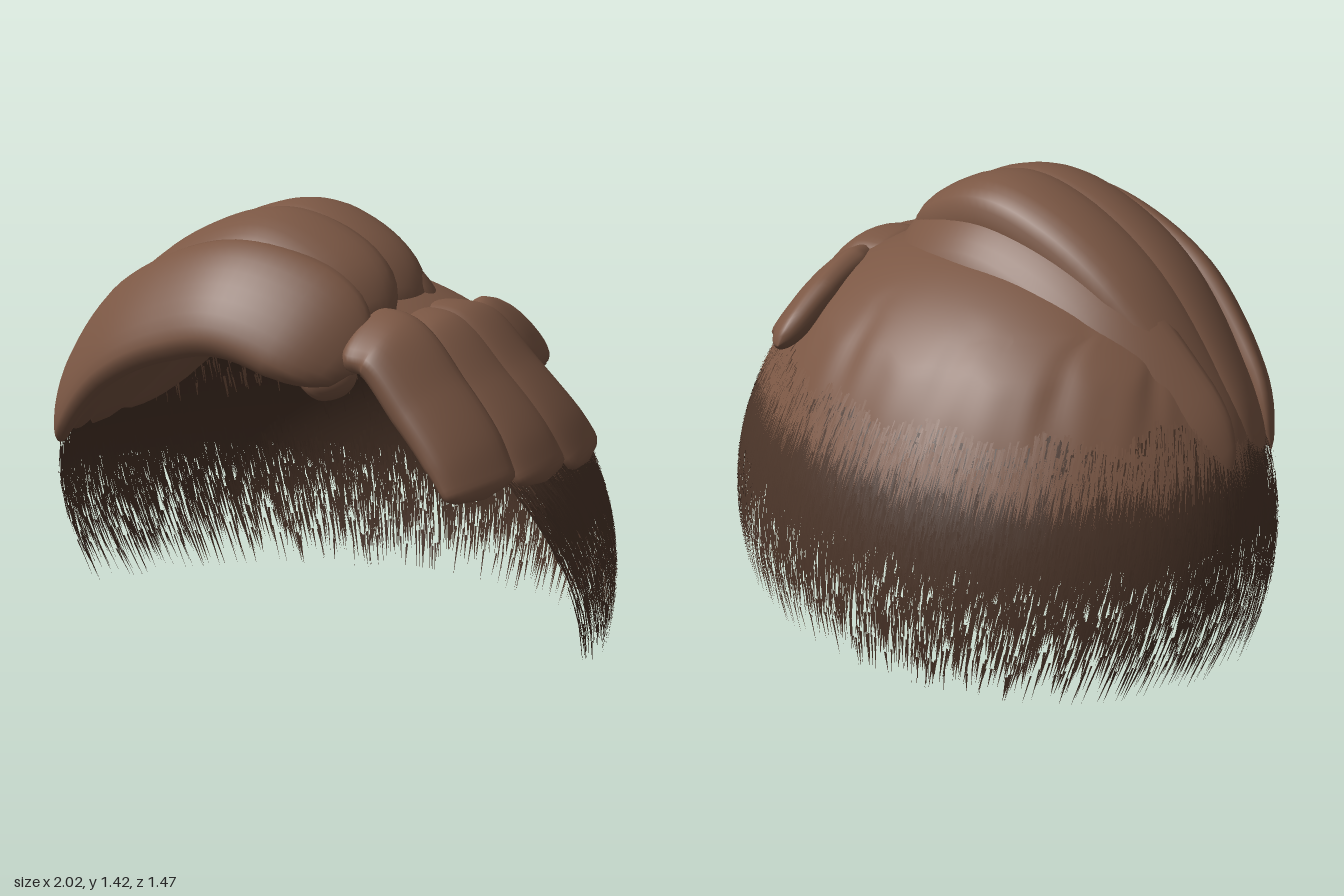
import * as THREE from 'three';

const V = (x, y, z) => new THREE.Vector3(x, y, z);
const mix = THREE.MathUtils.lerp;
const HEAD = V(0, 0.25, 0.1), RADII = V(1, 0.95, 0.84);

function mesh(name, geometry, material) {
  const m = new THREE.Mesh(geometry, material);
  m.name = name;
  return m;
}

function surface(pos, idx) {
  const g = new THREE.BufferGeometry();
  g.setAttribute('position', new THREE.Float32BufferAttribute(pos, 3));
  if (idx) g.setIndex(idx);
  g.computeVertexNormals();
  return g;
}

// Point on the head ellipsoid, open at the slanted hairline; u runs round the back from left to right
function onHead(th, u, off) {
  const k = Math.max(Math.cos(th), 0.001);
  const y = HEAD.y + RADII.y * Math.sin(th);
  const s = THREE.MathUtils.clamp((0.08 + 0.456 * y - HEAD.z) / (RADII.z * k), -1, 1);
  const a0 = Math.asin(s), a = a0 - u * (Math.PI + 2 * a0);
  return V(k * Math.cos(a), Math.sin(th), k * Math.sin(a)).multiply(RADII).multiplyScalar(1 + off).add(HEAD);
}

const angleAt = y => Math.asin((y - HEAD.y) / RADII.y);

// Grid on the head: th and offset come from functions of (u, v)
function headPatch(nu, nv, inset, thAt, offAt) {
  const pos = [], idx = [];
  for (let j = 0; j <= nv; j++) for (let i = 0; i <= nu; i++) {
    const u = inset + (1 - 2 * inset) * i / nu, v = j / nv;
    pos.push(...onHead(thAt(u, v), u, offAt(u, v)).toArray());
    if (i < nu && j < nv) {
      const a = j * (nu + 1) + i, b = a + nu + 1;
      idx.push(a, b, a + 1, a + 1, b, b + 1);
    }
  }
  return surface(pos, idx);
}

// Thick flattened lock; points are [x, y, z, halfWidth, halfThickness] on its outer face
function lock(points, centre, taper) {
  const curve = new THREE.CatmullRomCurve3(points.map(p => V(p[0], p[1], p[2])));
  const steps = 40, sides = 24, pos = [], idx = [];
  for (let i = 0; i <= steps; i++) {
    const s = i / steps, f = s * (points.length - 1);
    const n = Math.min(Math.floor(f), points.length - 2);
    const end = Math.min(1, Math.min(s, 1 - s) / taper);
    const round = Math.max(0.03, Math.sqrt(1 - (1 - end) ** 2));
    const w = mix(points[n][3], points[n + 1][3], f - n) * round;
    const t = mix(points[n][4], points[n + 1][4], f - n);
    const T = curve.getTangent(s), P = curve.getPoint(s);
    const N = P.clone().sub(centre);
    N.addScaledVector(T, -N.dot(T)).normalize();
    const B = T.clone().cross(N);
    P.addScaledVector(N, -t);
    for (let j = 0; j < sides; j++) {
      const a = j / sides * Math.PI * 2, sn = Math.sin(a);
      const q = P.clone().addScaledVector(B, w * Math.cos(a))
        .addScaledVector(N, t * round * Math.sign(sn) * Math.abs(sn) ** 0.75);
      pos.push(q.x, q.y, q.z);
      if (i < steps) {
        const j2 = (j + 1) % sides, b = i * sides, c = b + sides;
        idx.push(b + j, c + j, b + j2, b + j2, c + j, c + j2);
      }
    }
  }
  return surface(pos, idx);
}

// Arch from low on the right, over the crown, down to the parting
const ARCH_X = [-0.92, -0.78, -0.5, -0.2, 0.04, 0.28, 0.47];
const ARCH_RISE = [0, 0.31, 0.73, 0.95, 1, 0.87, 0.61];
const ARCH_BOW = [0, 0.5, 0.9, 1, 1, 0.65, 0];
const ARCH_WIDTH = [0.5, 0.8, 0.95, 1, 1, 1, 0.8];
const ARCH_THICK = [0.3, 0.6, 0.85, 1, 1, 0.9, 0.6];
function archPoints({ spread, low, top, zStart, zTop, zEnd, width, thick }) {
  return ARCH_X.map((x, i) => [
    x * (i < 4 ? spread : 1), mix(low, top, ARCH_RISE[i]),
    mix(i < 4 ? zStart : zEnd, zTop, ARCH_BOW[i]), width * ARCH_WIDTH[i], thick * ARCH_THICK[i]]);
}

// Fall from the parting down the left side
const FALL_X = [0.42, 0.58, 0.74, 0.86, 0.93];
const FALL_Y = [1.1, 1.08, 0.92, 0.77, 0.63];
const FALL_THICK = [0.05, 0.06, 0.06, 0.05, 0.03];
function fallPoints({ spread, lift, zStart, zEnd, width }) {
  return FALL_X.map((x, i) => [x * spread, FALL_Y[i] + lift, mix(zStart, zEnd, (i / 4) ** 2),
    width * (i % 4 ? 1 : 0.92), FALL_THICK[i]]);
}

// Many thin pointed hairs lying on the head and combed downwards
function strands(count, seed, rootY, lift) {
  const rand = () => (seed = (seed * 16807) % 2147483647) / 2147483647;
  const pos = [];
  for (let i = 0; i < count; i++) {
    const y = rootY(rand()), u = rand(), du = 0.0008 + 0.0008 * rand();
    const tip = Math.max(0.005, y - 0.07 - 0.08 * rand()), off = lift * rand();
    pos.push(...onHead(angleAt(y), u - du, off).toArray(),
      ...onHead(angleAt(tip), u + (rand() - 0.5) * 0.006, off + 0.004).toArray(),
      ...onHead(angleAt(y), u + du, off).toArray());
  }
  return surface(pos);
}

export function createModel() {
  const group = new THREE.Group();
  const brown = new THREE.MeshStandardMaterial({ color: 0x7b5744, side: THREE.DoubleSide });
  brown.name = 'warm brown';
  const dark = new THREE.MeshStandardMaterial({ color: 0x4a3428, side: THREE.DoubleSide });
  dark.name = 'dark brown';

  // Short hair round the sides and back, thinning out towards the nape
  const low = angleAt(0.47), high = angleAt(0.9);
  group.add(mesh('shortHairCap', headPatch(96, 16, 0.025, (u, v) => mix(low, high, v), () => 0), dark));
  group.add(mesh('fadeStrands', strands(6000, 77, r => 0.56 - 0.47 * (1 - Math.sqrt(1 - r)), 0.006), dark));
  group.add(mesh('cropStrands', strands(6000, 431, r => 0.88 - 0.4 * r, 0.006), dark));

  // Smooth crown layer with shallow grooves and a ragged lower edge
  group.add(mesh('crownLayer', headPatch(160, 30, 0,
    (u, v) => mix(angleAt(0.79 + 0.02 * Math.sin(u * 57) + 0.01 * Math.sin(u * 131)), Math.PI / 2, v),
    (u, v) => 0.002 + Math.min(1, v * 4)
      * (0.024 - 0.014 * Math.max(0, 1 - v * 2) * Math.abs(Math.cos(u * 28)) ** 12)), brown));
  group.add(mesh('crownStrands', strands(4000, 991, r => 0.86 - 0.13 * r, 0.009), brown));

  // Broad locks swept over the top from right to left
  const mid = V(0, 0.5, 0.12);
  const addSweep = (name, centre, shape) => group.add(mesh(name, lock(archPoints(shape), centre, 0.12), brown));
  addSweep('frontSweep', V(0, 0.78, 0.1), { spread: 0.95, low: 0.62, top: 1.19,
    zStart: 0.4, zTop: 0.64, zEnd: 0.54, width: 0.2, thick: 0.08 });
  addSweep('secondSweep', V(0, 0.7, 0.12), { spread: 0.99, low: 0.63, top: 1.375,
    zStart: 0.3, zTop: 0.4, zEnd: 0.42, width: 0.19, thick: 0.13 });
  addSweep('thirdSweep', mid, { spread: 1.01, low: 0.63, top: 1.42,
    zStart: 0.18, zTop: 0.14, zEnd: 0.24, width: 0.175, thick: 0.13 });
  addSweep('backSweep', V(0, 0.85, 0.3), { spread: 1, low: 0.66, top: 1.28,
    zStart: 0.06, zTop: -0.05, zEnd: -0.02, width: 0.18, thick: 0.09 });

  // Locks falling over the left side
  const addFall = (name, shape) => group.add(mesh(name, lock(fallPoints(shape), mid, 0.07), brown));
  addFall('sideLockFront', { spread: 0.94, lift: -0.02, zStart: 0.49, zEnd: 0.48, width: 0.14 });
  addFall('sideLockMiddle', { spread: 1.01, lift: 0, zStart: 0.265, zEnd: 0.225, width: 0.13 });
  addFall('sideLockBack', { spread: 1.02, lift: 0.025, zStart: 0.075, zEnd: -0.03, width: 0.135 });

  // Broad lobe combed back behind the parting and small tucked curl beneath it
  group.add(mesh('sideCurl', lock([[0.5, 0.92, -0.52, 0.06, 0.04], [0.56, 1.0, -0.32, 0.13, 0.06],
    [0.61, 1.02, -0.15, 0.16, 0.07], [0.64, 1.0, -0.01, 0.13, 0.06]], mid, 0.15), brown));
  group.add(mesh('tuckedCurl', lock([[0.22, 0.95, 0.56, 0.05, 0.04], [0.32, 0.89, 0.58, 0.06, 0.05],
    [0.44, 0.93, 0.55, 0.05, 0.04]], V(0.32, 1, 0.3), 0.25), brown));
  return group;
}
